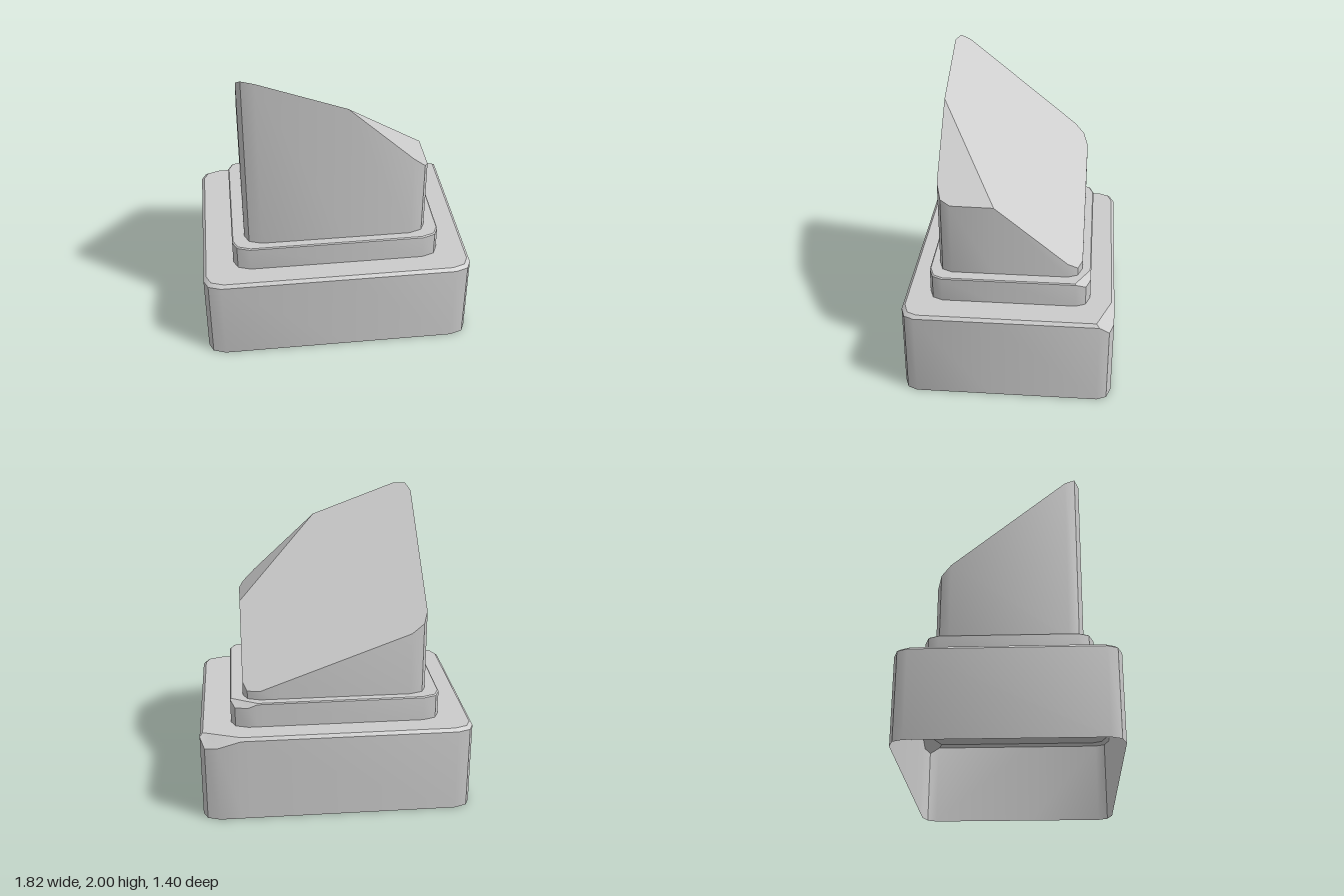
import * as THREE from 'three';
import { toCreasedNormals } from 'three/addons/utils/BufferGeometryUtils.js';

const material = new THREE.MeshStandardMaterial({ color: 0xcccccc, side: THREE.DoubleSide });

// Points of a blunted corner, from the side edge round to the front edge
const corner = (hx, hz) => [[hx, hz - 0.095], [hx - 0.03, hz - 0.03], [hx - 0.115, hz]];

// Rectangle with blunted corners, 15 points, running +x, +z, -x, -z
function outline(hx, hz, y, extraX = hx - 0.27) {
  const c = corner(hx, hz);
  const place = (pts, sx, sz) => pts.map(([x, z]) => [x * sx, z * sz]);
  const back = [...c].reverse();
  return [
    [hx, 0.1], ...c, [0.07, hz],
    ...place(back, -1, 1), ...place(c, -1, -1),
    [extraX, -hz], ...place(back, 1, -1),
  ].map(([x, z]) => new THREE.Vector3(x, y, z));
}

// Skin a stack of rings, with optional flat cap polygons on the last ring
function skin(name, rings, caps = []) {
  const n = rings[0].length;
  const index = [];
  for (let r = 0; r < rings.length - 1; r++) {
    for (let i = 0; i < n; i++) {
      const j = (i + 1) % n;
      const a = r * n + i, b = r * n + j, c = b + n, d = a + n;
      index.push(a, d, c, a, c, b);
    }
  }
  const top = (rings.length - 1) * n;
  for (const cap of caps) {
    for (let i = 1; i < cap.length - 1; i++) index.push(top + cap[0], top + cap[i + 1], top + cap[i]);
  }
  const geometry = new THREE.BufferGeometry().setFromPoints(rings.flat());
  geometry.setIndex(index);
  const mesh = new THREE.Mesh(toCreasedNormals(geometry, 0.55), material);
  mesh.name = name;
  return mesh;
}

// Hollow step: wall, bevelled rim with one chipped back corner, and ledge
function step(name, hx, hz, y0, y1, bevel, chip, inner) {
  const extraX = hx - (hx > 0.8 ? 0.27 : 0.18);
  const wallTop = outline(hx, hz, y1 - bevel, extraX);
  wallTop[12].y -= chip * 0.8;
  wallTop[13].y -= chip;
  const rim = outline(hx - bevel, hz - bevel, y1, extraX);
  rim[12].lerpVectors(rim[11], rim[14], 0.45);
  rim[13].lerpVectors(rim[11], rim[14], 0.82);
  return skin(name, [outline(hx, hz, y0, extraX), wallTop, rim, inner]);
}

export function createModel() {
  const group = new THREE.Group();
  group.name = 'steppedBlock';

  // Open-bottomed base and middle step
  group.add(step('base', 0.912, 0.7, 0, 0.6, 0.02, 0.055, outline(0.705, 0.538, 0.6, 0.525)));
  group.add(step('middleStep', 0.705, 0.538, 0.6, 0.77, 0.007, 0.03, outline(0.62, 0.48, 0.77, 0.4)));

  // Tower cut by a main slope and a smaller front corner slope
  const towerTop = outline(0.62, 0.48, 0, 0.4);
  for (const p of towerTop) {
    p.y = Math.min(1.412 - 0.37 * p.x + 0.82 * p.z, 1.78 - 0.93 * (p.x - 0.07), 2);
  }
  const cornerSlope = [0, 1, 2, 3, 4];
  const mainSlope = [4, 5, 6, 7, 8, 9, 10, 11, 12, 13, 14, 0];
  group.add(skin('tower', [outline(0.62, 0.48, 0.77, 0.4), towerTop], [cornerSlope, mainSlope]));

  return group;
}
